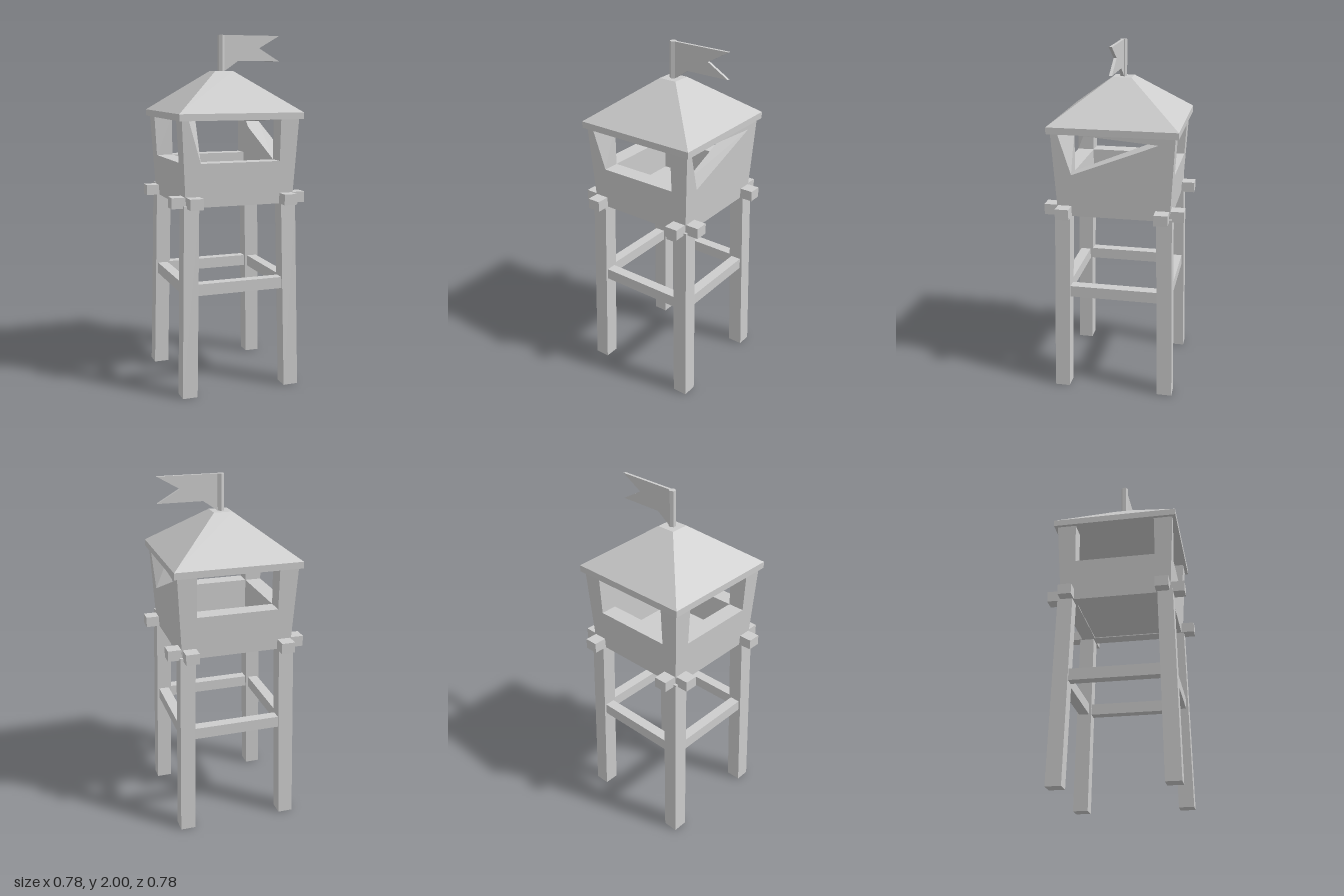
import * as THREE from 'three';

export function createModel() {
  const grey = new THREE.MeshStandardMaterial({ color: 0xcccccc });
  grey.name = 'light grey';
  grey.flatShading = true;
  const model = new THREE.Group();
  model.name = 'watchtower';

  function add(name, geometry, x = 0, y = 0, z = 0, turn = 0) {
    const mesh = new THREE.Mesh(geometry, grey);
    mesh.name = name;
    mesh.position.set(x, y, z);
    mesh.rotation.y = turn;
    model.add(mesh);
    return mesh;
  }

  // Four square legs, leaning slightly inwards
  const legHeight = 1.08;
  for (const sx of [-1, 1]) {
    for (const sz of [-1, 1]) {
      const leg = new THREE.BoxGeometry(0.086, legHeight, 0.086);
      leg.translate(0, legHeight / 2, 0);
      const p = leg.attributes.position;
      for (let i = 0; i < p.count; i++) {
        const centre = 0.305 - 0.022 * (p.getY(i) / legHeight);
        p.setX(i, p.getX(i) + sx * centre);
        p.setZ(i, p.getZ(i) + sz * centre);
      }
      leg.computeVertexNormals();
      add('leg', leg);
    }
  }

  // Cross rails between the legs, and floor beams with protruding ends
  for (const s of [-1, 1]) {
    add('crossRail', new THREE.BoxGeometry(0.54, 0.065, 0.06), 0, 0.608, s * 0.293);
    add('crossRail', new THREE.BoxGeometry(0.06, 0.065, 0.54), s * 0.293, 0.608, 0);
    add('floorBeam', new THREE.BoxGeometry(0.78, 0.06, 0.076), 0, 1.095, s * 0.272);
    add('floorBeam', new THREE.BoxGeometry(0.076, 0.06, 0.78), s * 0.272, 1.095, 0);
  }
  add('floor', new THREE.BoxGeometry(0.6, 0.05, 0.6), 0, 1.095, 0);

  // Cabin walls: flared outside, upright inside, mitred at the corners
  const y0 = 1.065, y1 = 1.538, inner = 0.23;
  const outer = (y) => 0.312 + 0.026 * (y - y0) / (y1 - y0);
  function wall(name, opening, turn) {
    const shape = new THREE.Shape([
      [-outer(y0), y0], [outer(y0), y0], [outer(y1), y1],
      ...opening, [-outer(y1), y1],
    ].map(([u, y]) => new THREE.Vector2(u, y)));
    const g = new THREE.ExtrudeGeometry(shape, { depth: 1, bevelEnabled: false });
    const p = g.attributes.position;
    for (let i = 0; i < p.count; i++) {
      if (p.getZ(i) > 0.5) {
        p.setZ(i, outer(p.getY(i)));
      } else {
        p.setZ(i, inner);
        p.setX(i, THREE.MathUtils.clamp(p.getX(i), -inner, inner));
      }
    }
    g.computeVertexNormals();
    add(name, g, 0, 0, 0, turn);
  }
  const sill = 1.305;
  const window = (left) => [[inner, y1], [inner, sill], [-inner, sill], [left, y1]];
  wall('frontWall', window(-0.3), 0);
  wall('backWall', window(-inner), Math.PI);
  wall('rightWall', window(-inner), -Math.PI / 2);
  // The left wall has a slanting sill and a sagging lintel
  wall('leftWall', [[-0.22, 1.534], [0.25, 1.495], [-inner, sill], [-0.3, y1]], Math.PI / 2);

  // Roof slab and truncated pyramid
  add('roofSlab', new THREE.BoxGeometry(0.714, 0.037, 0.714), 0, 1.5535, 0);
  const roof = new THREE.CylinderGeometry(0.053 * Math.SQRT2, 0.357 * Math.SQRT2, 0.226, 4);
  roof.rotateY(Math.PI / 4);
  add('roof', roof, 0, 1.685, 0);

  // Flagpole and swallow-tailed flag
  add('flagpole', new THREE.CylinderGeometry(0.02, 0.02, 0.21, 6), 0, 1.895, 0);
  const flag = new THREE.ExtrudeGeometry(new THREE.Shape([
    [0, 1.797], [0.02, 1.8], [0.1, 1.855], [0.355, 1.855], [0.23, 1.928], [0.355, 2], [0, 2],
  ].map(([x, y]) => new THREE.Vector2(x, y))), { depth: 0.016, bevelEnabled: false });
  add('flag', flag, 0, 0, -0.006);

  return model;
}
